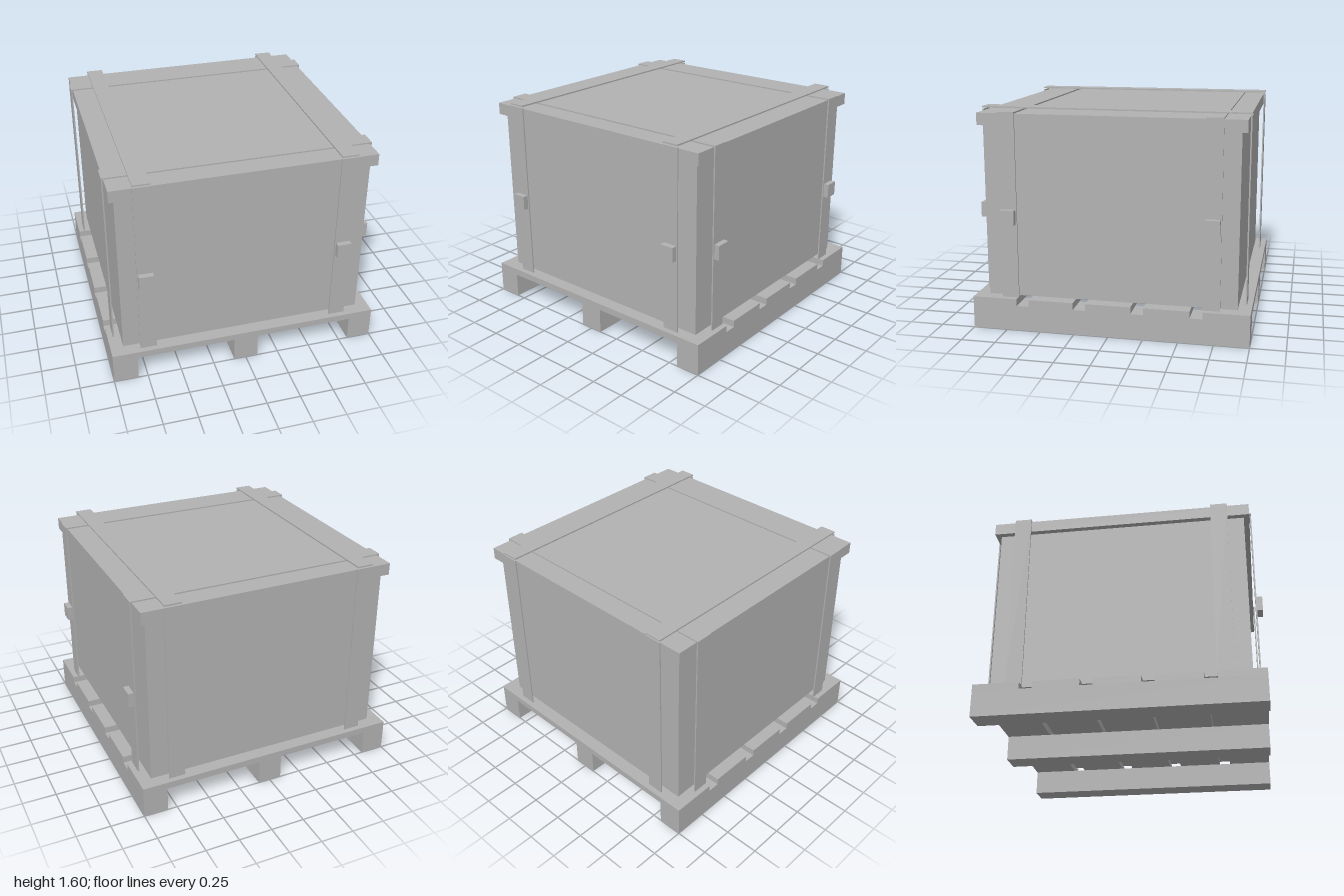
import * as THREE from 'three';

export function createModel() {
  const model = new THREE.Group();
  model.name = 'palletCrate';
  const grey = new THREE.MeshStandardMaterial({ color: 0xb2b2b2 });
  grey.name = 'plain grey';

  // Box given by its minimum and maximum on each axis
  function box(parent, name, [x0, x1], [y0, y1], [z0, z1]) {
    const mesh = new THREE.Mesh(new THREE.BoxGeometry(x1 - x0, y1 - y0, z1 - z0), grey);
    mesh.position.set((x0 + x1) / 2, (y0 + y1) / 2, (z0 + z1) / 2);
    mesh.name = name;
    parent.add(mesh);
  }
  function group(name) {
    const g = new THREE.Group();
    g.name = name;
    model.add(g);
    return g;
  }
  const around = (centre, width) => [centre - width / 2, centre + width / 2];

  // Pallet: three runners under five deck boards
  const DECK = 0.235, RUNNER = 0.185;
  const pallet = group('pallet');
  for (const x of [-0.91, 0, 0.91]) box(pallet, 'runner', around(x, 0.18), [0, RUNNER], [-1, 1]);
  const gap = 0.09, board = (2 - 4 * gap) / 5;
  for (let i = 0; i < 5; i++) {
    const z = -1 + i * (board + gap);
    box(pallet, 'deckBoard', [-1, 1], [RUNNER, DECK], [z, z + board]);
  }

  // Crate body and overhanging lid
  box(model, 'crateBody', [-0.905, 0.905], [DECK, 1.48], [-0.905, 0.905]);
  box(model, 'lid', [-0.945, 0.945], [1.48, 1.567], [-0.945, 0.945]);

  // Straps: a crosswise pair on the lid and a lengthwise pair above it
  const OUT = 0.96, IN = 0.95, WIDTH = 0.122;
  const crossStraps = group('crossStraps');
  const longStraps = group('longStraps');
  const buckles = group('buckles');
  for (const p of [-0.727, 0.727]) {
    const span = around(p, WIDTH);
    box(crossStraps, 'strapTop', [-OUT, OUT], [1.569, 1.579], span);
    box(longStraps, 'strapTop', span, [1.585, 1.596], [-OUT, OUT]);
    for (const [a, b] of [[-OUT, -IN], [IN, OUT]]) {
      box(crossStraps, 'strapSide', [a, b], [DECK, 1.569], span);
      box(longStraps, 'strapSide', span, [DECK, 1.575], [a, b]);
    }
    // Buckles on the front and the left side only
    box(buckles, 'frontBuckle', around(p, 0.105), [0.78, 0.888], [OUT, 1]);
    box(buckles, 'sideBuckle', [OUT, 1], [0.78, 0.888], around(p, 0.105));
  }
  return model;
}
